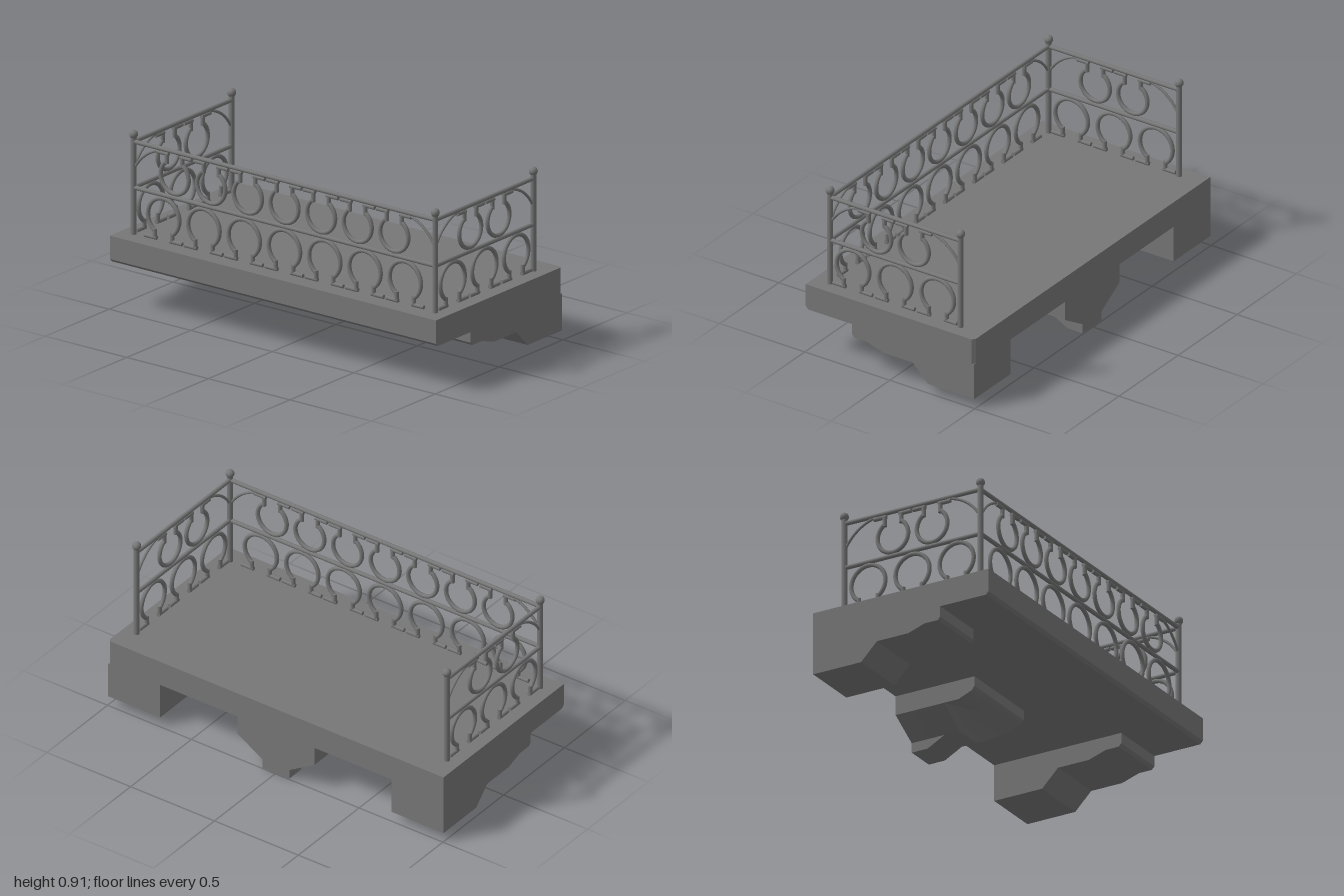
import * as THREE from 'three';
import { mergeGeometries, toCreasedNormals } from 'three/addons/utils/BufferGeometryUtils.js';

const material = new THREE.MeshStandardMaterial({ color: 0x777777 });

function add(parent, name, geometry) {
  const mesh = new THREE.Mesh(geometry, material);
  mesh.name = name;
  parent.add(mesh);
  return mesh;
}

// Side profile (x, y) extruded between two z values
function prism(points, z0, z1) {
  const shape = new THREE.Shape(points.map(([x, y]) => new THREE.Vector2(x, y)));
  return new THREE.ExtrudeGeometry(shape, { depth: z1 - z0, bevelEnabled: false }).translate(0, 0, z0);
}

// Round bar between two points of the panel plane
function rod(x0, y0, x1, y1, r) {
  const dx = x1 - x0, dy = y1 - y0;
  return new THREE.CylinderGeometry(r, r, Math.hypot(dx, dy), 12)
    .rotateZ(Math.atan2(dy, dx) - Math.PI / 2)
    .translate((x0 + x1) / 2, (y0 + y1) / 2, 0);
}

// Open ring with two legs and outward feet, centred on the ring
function openRing(radius, legX, footX, footY) {
  const r = 0.011, gap = Math.asin(legX / radius);
  const parts = [
    new THREE.TorusGeometry(radius, r, 10, 40, 2 * Math.PI - 2 * gap).rotateZ(gap - Math.PI / 2),
  ];
  for (const s of [-1, 1]) {
    parts.push(rod(s * legX, -radius * Math.cos(gap) + 0.012, s * legX, -footY, r));
    parts.push(rod(s * (legX - r), -footY, s * footX, -footY, 0.0105));
  }
  return mergeGeometries(parts);
}

const lowerRing = openRing(0.096, 0.053, 0.115, 0.114);
const upperRing = openRing(0.086, 0.047, 0.105, 0.11);

// Railing panel along local x, centred on its length
function railing(name, length, lowerCount, lowerStep, upperCount, upperStep) {
  const panel = new THREE.Group();
  panel.name = name;
  const half = length / 2;
  add(panel, 'topRail', rod(-half, 0.849, half, 0.849, 0.011));
  add(panel, 'middleRail', rod(-half, 0.614, half, 0.614, 0.011));
  for (let i = 0; i < lowerCount; i++) {
    add(panel, 'lowerRing', lowerRing).position.set((i - (lowerCount - 1) / 2) * lowerStep, 0.5, 0);
  }
  for (let i = 0; i < upperCount; i++) {
    const ring = add(panel, 'upperRing', upperRing);
    ring.position.set((i - (upperCount - 1) / 2) * upperStep, 0.72, 0);
    ring.rotation.z = Math.PI;
  }
  // Curved corner braces
  for (const s of [-1, 1]) {
    const curve = new THREE.QuadraticBezierCurve3(
      new THREE.Vector3(s * (half - 0.008), 0.72, 0),
      new THREE.Vector3(s * (half - 0.075), 0.83, 0),
      new THREE.Vector3(s * (half - 0.2), 0.845, 0));
    add(panel, 'cornerBrace', new THREE.TubeGeometry(curve, 16, 0.007, 8));
  }
  return panel;
}

// Middle corbel lofted from sections along x: [x, bottom height]
function corbelGeometry() {
  const sections = [[0.05, 0.19], [0.065, 0.17], [0.14, 0.14], [0.225, 0.05], [0.31, 0.05], [0.405, 0], [0.495, 0]];
  const outline = [[0.23, 0.24], [0.23, 0.14], [0.08, 0.05], [0.08, 0],
    [-0.08, 0], [-0.08, 0.05], [-0.23, 0.14], [-0.23, 0.24]];
  const n = outline.length, last = (sections.length - 1) * n;
  const positions = [], index = [];
  for (const [x, bottom] of sections) {
    for (const [z, y] of outline) positions.push(x, Math.max(y, bottom), z);
  }
  const quad = (a, b, c, d) => index.push(a, b, c, a, c, d);
  for (let s = 0; s < last; s += n) {
    for (let i = 0; i < n - 1; i++) quad(s + i, s + i + 1, s + n + i + 1, s + n + i);
  }
  // End caps
  for (let i = 0; i < n / 2 - 1; i++) {
    const j = n - 1 - i;
    quad(last + i, last + i + 1, last + j - 1, last + j);
    quad(j, j - 1, i + 1, i);
  }
  const geometry = new THREE.BufferGeometry();
  geometry.setAttribute('position', new THREE.Float32BufferAttribute(positions, 3));
  geometry.setIndex(index);
  return toCreasedNormals(geometry, 0.6);
}

export function createModel() {
  const model = new THREE.Group();
  model.name = 'balcony';

  // Floor slab, with one bevelled corner at the wall
  const slab = (xEnd) => [[-0.495, 0.375], [-0.495, 0.255], [-0.48, 0.24], [xEnd, 0.24], [xEnd, 0.375]];
  const bevel = [[0.48, -0.985], [0.48, -1], [0.495, -0.985]];
  add(model, 'floorSlab', prism(slab(0.495), -1, 0.985));
  add(model, 'floorSlabEdge', prism(slab(0.48), 0.985, 1));
  add(model, 'slabCornerBevel', prism(bevel, 0.24, 0.375).rotateX(-Math.PI / 2));

  // Stepped brackets under both ends
  const profile = [[-0.222, 0.24], [-0.222, 0.185], [-0.208, 0.17], [-0.135, 0.17], [-0.04, 0.14],
    [0.135, 0.14], [0.225, 0.05], [0.495, 0.05], [0.495, 0.24]];
  add(model, 'leftBracket', prism(profile, 0.69, 1));
  add(model, 'rightBracket', prism(profile, -1, -0.69));
  add(model, 'middleCorbel', corbelGeometry());

  // Posts with ball finials
  for (const x of [-0.404, 0.364]) {
    for (const z of [-0.925, 0.925]) {
      const post = new THREE.Group();
      post.name = 'post';
      post.position.set(x, 0, z);
      add(post, 'postShaft', rod(0, 0.37, 0, 0.88, 0.0145));
      add(post, 'ballFinial', new THREE.SphereGeometry(0.022, 20, 14)).position.y = 0.886;
      model.add(post);
    }
  }

  // Long outer railing and two short end railings
  const outer = railing('outerRailing', 1.85, 7, 0.247, 7, 0.2245);
  outer.position.x = -0.404;
  outer.rotation.y = Math.PI / 2;
  model.add(outer);
  for (const z of [-0.925, 0.925]) {
    const end = railing('endRailing', 0.768, 3, 0.249, 2, 0.221);
    end.position.set(-0.02, 0, z);
    model.add(end);
  }
  return model;
}
